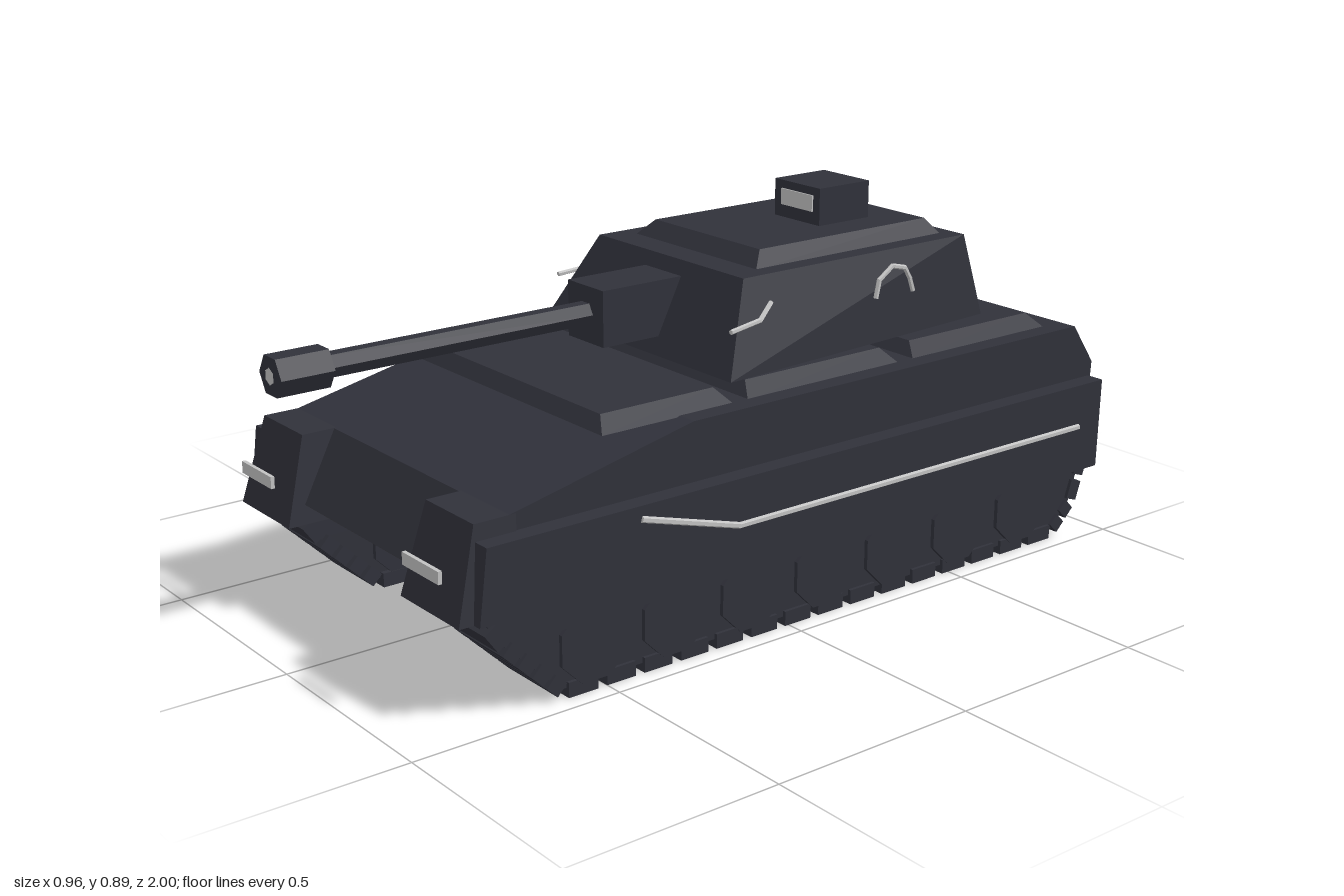
import * as THREE from 'three';

const mat = (name, color) => Object.assign(new THREE.MeshStandardMaterial({ color, flatShading: true }), { name });

export function createModel() {
  const armour = mat('dark armour', 0x30313a);
  const under = mat('black underside', 0x222222);
  const pale = mat('pale grey', 0xc2c2c2);
  const root = new THREE.Group();

  const add = (name, geo, material = armour, parent = root) => {
    const mesh = new THREE.Mesh(geo, material);
    mesh.name = name;
    parent.add(mesh);
    return mesh;
  };
  const box = (x0, x1, y0, y1, z0, z1) => new THREE.BoxGeometry(x1 - x0, y1 - y0, z1 - z0)
    .translate((x0 + x1) / 2, (y0 + y1) / 2, (z0 + z1) / 2);
  // Side profile of [z, y] points, extruded from x0 to x1
  const slab = (pts, x0, x1) => new THREE.ExtrudeGeometry(
    new THREE.Shape(pts.map(([z, y]) => new THREE.Vector2(z, y))),
    { depth: x1 - x0, bevelEnabled: false }).rotateY(-Math.PI / 2).translate(x1, 0, 0);
  // Six-sided block; corners run front-left, front-right, back-right, back-left of the frame
  const block = (bottom, top) => {
    const pos = [];
    const quad = (a, b, c, d) => pos.push(...a, ...b, ...c, ...a, ...c, ...d);
    for (let i = 0; i < 4; i++) {
      const j = (i + 1) % 4;
      quad(bottom[i], bottom[j], top[j], top[i]);
    }
    quad(...top);
    quad(...[...bottom].reverse());
    const geo = new THREE.BufferGeometry();
    geo.setAttribute('position', new THREE.Float32BufferAttribute(pos, 3));
    geo.computeVertexNormals();
    return geo;
  };
  const rect = (x0, x1, y, z0, z1) => [[x0, y, z1], [x1, y, z1], [x1, y, z0], [x0, y, z0]];
  // Thin rod through a list of points
  const rod = (name, pts, r) => {
    const group = new THREE.Group();
    group.name = name;
    root.add(group);
    const v = pts.map(p => new THREE.Vector3(...p));
    for (let i = 1; i < v.length; i++) {
      const dir = v[i].clone().sub(v[i - 1]);
      const m = add(name + 'Segment', new THREE.CylinderGeometry(r, r, dir.length() + r * 0.6, 6), pale, group);
      m.position.copy(v[i]).add(v[i - 1]).multiplyScalar(0.5);
      m.quaternion.setFromUnitVectors(new THREE.Vector3(0, 1, 0), dir.normalize());
    }
  };

  // Hull
  add('hull', slab([[0.81, 0.265], [0.72, 0.42], [0.25, 0.52], [-0.93, 0.52], [-1, 0.42],
    [-0.985, 0.165], [0.67, 0.17]], -0.43, 0.43));
  add('belly', slab([[0.808, 0.263], [0.65, 0.155], [-0.975, 0.155], [-0.975, 0.2], [0.6, 0.2]], -0.428, 0.428), under);

  // Raised deck plates
  for (const [name, z0, z1] of [['frontDeckPlate', 0.105, 0.455], ['middleDeckPlate', -0.385, 0.065], ['rearDeckPlate', -0.87, -0.43]]) {
    add(name, block(rect(-0.385, 0.385, 0.518, z0, z1), rect(-0.345, 0.345, 0.55, z0 + 0.025, z1 - 0.025)));
  }

  // Turret, wider at its front
  add('turret', block(
    [[-0.345, 0.55, 0.08], [0.345, 0.55, 0.08], [0.285, 0.55, -0.755], [-0.285, 0.55, -0.755]],
    rect(-0.265, 0.265, 0.75, -0.705, -0.02)));
  add('turretRoof', block(rect(-0.22, 0.22, 0.749, -0.67, -0.095), rect(-0.19, 0.19, 0.785, -0.645, -0.13)));

  // Sight box and its window
  add('sightBox', box(0.02, 0.175, 0.808, 0.895, -0.475, -0.322));
  add('sightWindow', box(0.045, 0.153, 0.838, 0.876, -0.323, -0.318), pale);

  // Gun: hexagonal barrel with vertices to the sides
  const tube = (r, z0, z1) => new THREE.CylinderGeometry(r, r, z1 - z0, 6)
    .rotateY(Math.PI / 2).rotateX(Math.PI / 2).translate(0, 0.655, (z0 + z1) / 2);
  add('gunMantlet', box(-0.066, 0.066, 0.588, 0.718, -0.02, 0.215));
  add('gunBarrel', tube(0.028, 0.2, 0.89));
  add('gunMuzzle', tube(0.047, 0.875, 0.998));
  add('gunBore', new THREE.CircleGeometry(0.019, 6, Math.PI / 6).translate(0, 0.655, 1), pale);

  // Track outline, front to back, as [z, y]
  const path = [[0.79, 0.21], [0.75, 0.155], [0.61, 0.02], [-0.86, 0.02], [-0.92, 0.08], [-0.96, 0.2]];

  for (const s of [1, -1]) {
    const span = (a, b) => (s > 0 ? [a, b] : [-b, -a]);
    const side = s > 0 ? 'left' : 'right';

    // Side skirt and front fender
    add(side + 'Skirt', slab([[0.8, 0.385], [0.82, 0.22], [0.775, 0.22], [0.69, 0.165],
      [-0.985, 0.165], [-0.99, 0.385]], ...span(0.425, 0.475)));
    add(side + 'Fender', block(rect(...span(0.235, 0.453), 0.22, 0.715, 0.855),
      rect(...span(0.255, 0.43), 0.421, 0.7, 0.8)));
    add(side + 'Headlight', box(...span(0.275, 0.41), 0.305, 0.333, 0.863, 0.872), pale);

    // Running gear
    const track = new THREE.Group();
    track.name = side + 'Track';
    root.add(track);
    add('trackBelt', slab(path, ...span(0.292, 0.45)), armour, track);
    for (let i = 0; i < 7; i++) {
      add('roadWheel', new THREE.CylinderGeometry(0.092, 0.092, 0.18, 8).rotateY(Math.PI / 8)
        .rotateZ(Math.PI / 2).translate(s * 0.37, 0.108, 0.53 - i * 0.212), armour, track);
    }
    for (let i = 1; i < path.length; i++) {
      const [z0, y0] = path[i - 1], [z1, y1] = path[i];
      const len = Math.hypot(z1 - z0, y1 - y0);
      const n = Math.max(1, Math.round(len / (len > 1 ? 0.1 : 0.055)));
      for (let k = 0; k < n; k++) {
        const t = (k + 0.5) / n;
        const pad = add('trackPad', new THREE.BoxGeometry(0.18, 0.034, (len / n) * 0.76), armour, track);
        pad.position.set(s * 0.368, y0 + (y1 - y0) * t + 0.002 * (len > 1 ? -1.5 : -1), z0 + (z1 - z0) * t);
        pad.rotation.x = Math.atan2(y0 - y1, z0 - z1) * -1;
      }
    }

    // Side rail and turret front handle
    rod(side + 'SideRail', [[s * 0.474, 0.355, 0.42], [s * 0.474, 0.28, 0.16], [s * 0.474, 0.28, -0.91]], 0.008);
    rod(side + 'TurretHandle', [[s * 0.322, 0.655, 0.06], [s * 0.312, 0.664, -0.03], [s * 0.288, 0.69, -0.08]], 0.006);
  }

  // Arched grab handle on the left of the turret
  rod('archedHandle', [[0.304, 0.655, -0.385], [0.303, 0.695, -0.395], [0.303, 0.722, -0.435],
    [0.303, 0.712, -0.475], [0.303, 0.685, -0.492], [0.304, 0.655, -0.502]], 0.006);

  return root;
}
